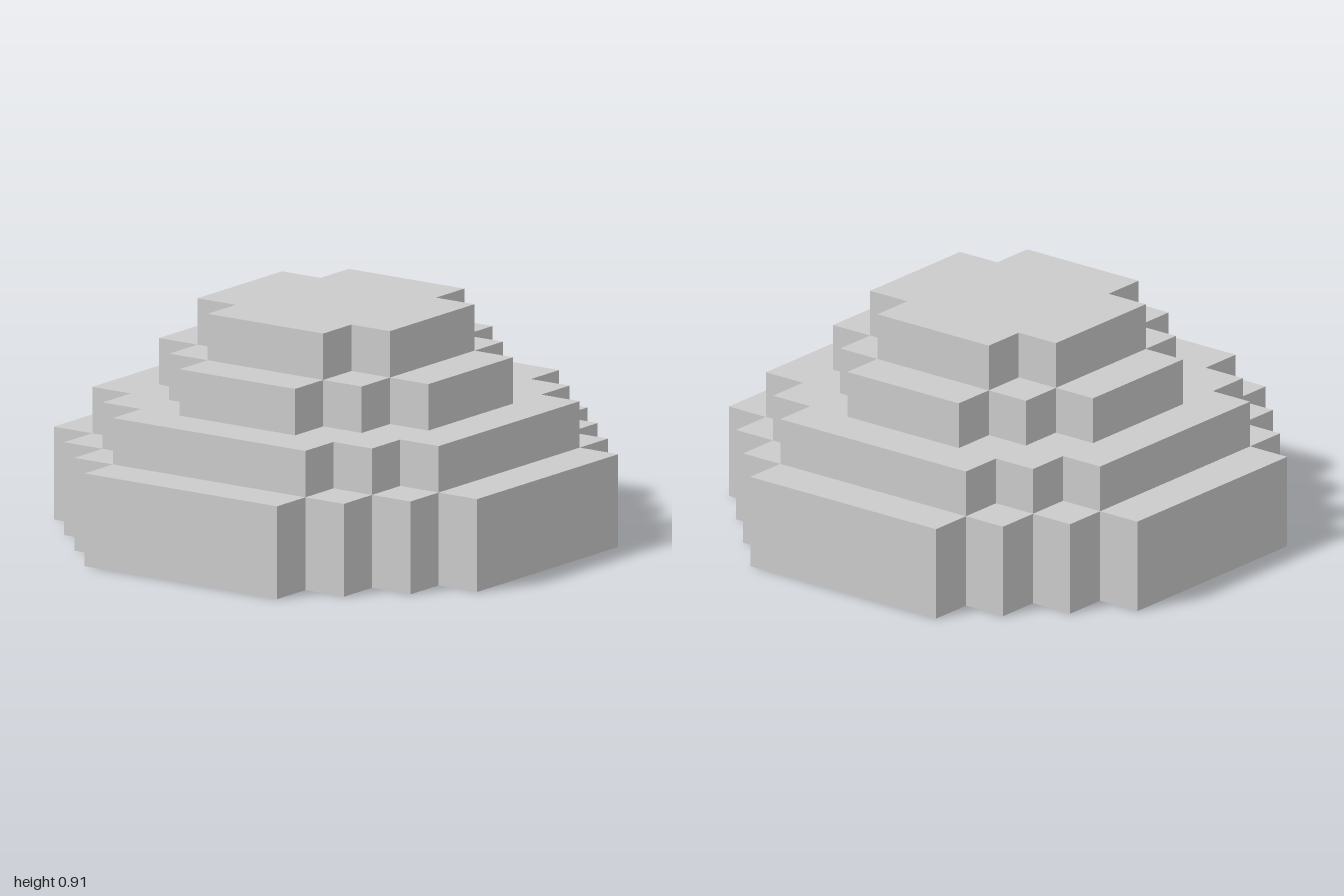
import * as THREE from 'three';

const U = 2 / 11; // edge of one block

// Tiers from the ground up: outer half-width, half-width of each straight side, bottom and top (in blocks)
const TIERS = [
  { name: 'baseTier', outer: 5.5, side: 2.5, bottom: 0, top: 2 },
  { name: 'lowerTier', outer: 4.5, side: 2.5, bottom: 2, top: 3 },
  { name: 'upperTier', outer: 3.5, side: 1.5, bottom: 3, top: 4 },
  { name: 'topTier', outer: 2.5, side: 1.5, bottom: 4, top: 5 },
];

// Stepped round outline: one staircase corner, turned four times
function steppedOutline(outer, side) {
  const corner = [[outer, side]];
  for (let x = outer - 1, z = side; x >= side; x--, z++) {
    corner.push([x, z], [x, z + 1]);
  }
  const points = [];
  for (let turn = 0; turn < 4; turn++) {
    for (const [x, z] of corner) {
      const p = [[x, z], [-z, x], [-x, -z], [z, -x]][turn];
      points.push(new THREE.Vector2(p[0] * U, p[1] * U));
    }
  }
  return new THREE.Shape(points);
}

export function createModel() {
  const model = new THREE.Group();
  model.name = 'steppedMound';
  const material = new THREE.MeshStandardMaterial({ color: 0xcccccc, flatShading: true });

  for (const { name, outer, side, bottom, top } of TIERS) {
    const geometry = new THREE.ExtrudeGeometry(steppedOutline(outer, side), {
      depth: (top - bottom) * U,
      bevelEnabled: false,
    });
    geometry.rotateX(-Math.PI / 2);
    const tier = new THREE.Mesh(geometry, material);
    tier.name = name;
    tier.position.y = bottom * U;
    model.add(tier);
  }
  return model;
}
